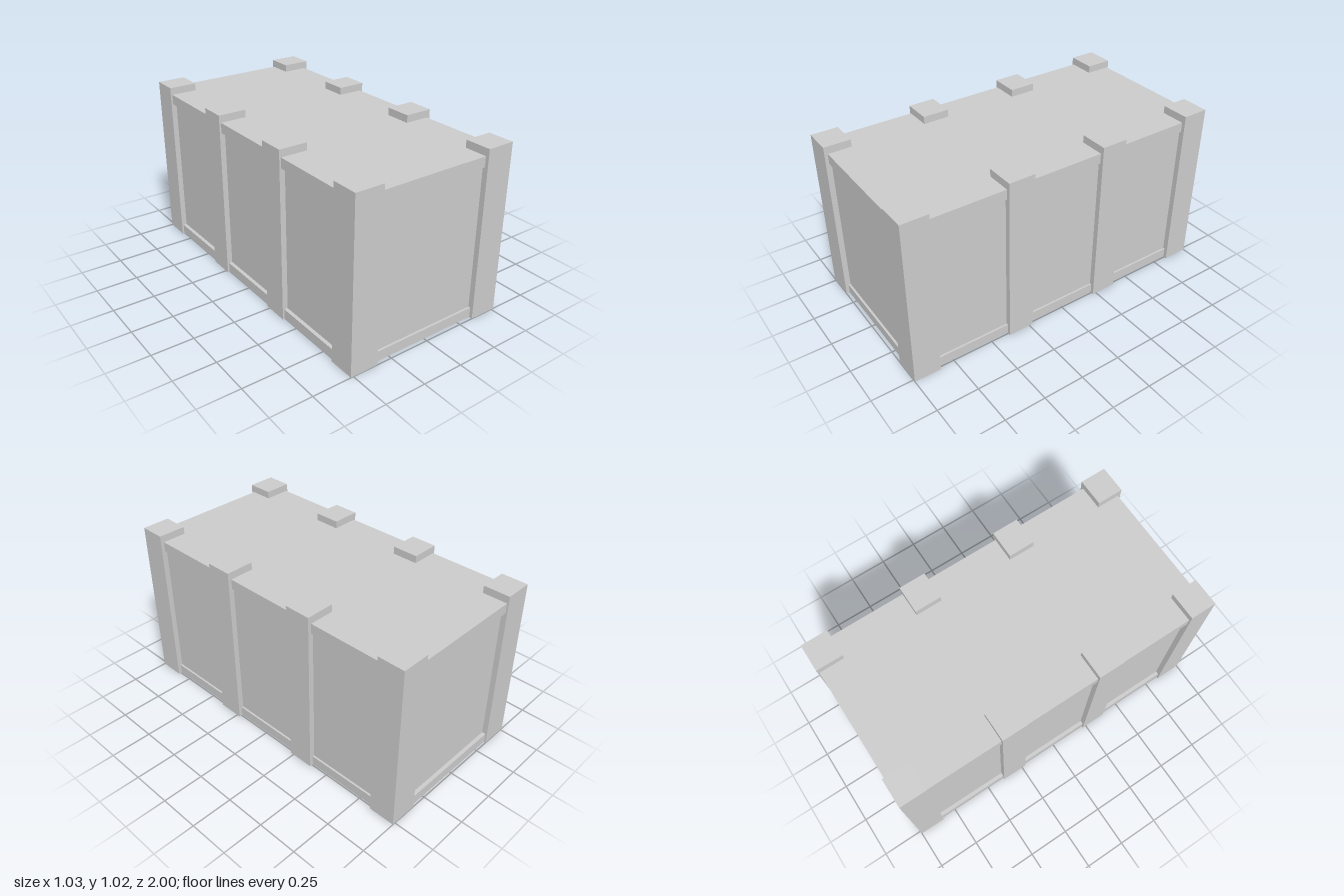
import * as THREE from 'three';

export function createModel() {
  const crate = new THREE.Group();
  crate.name = 'crate';
  const material = new THREE.MeshStandardMaterial({ color: 0xcccccc, flatShading: true });

  // Box given by its lower and upper corners
  function addBox(name, min, max) {
    const size = max.map((v, i) => v - min[i]);
    const mesh = new THREE.Mesh(new THREE.BoxGeometry(...size), material);
    mesh.position.set(...max.map((v, i) => (v + min[i]) / 2));
    mesh.name = name;
    crate.add(mesh);
  }

  // Recessed walls between the base and the lid
  addBox('wallPanels', [-0.483, 0.03, -0.967], [0.483, 0.95, 0.967]);

  // Base and lid slabs, sitting very slightly off centre
  addBox('base', [-0.505, 0.003, -0.99], [0.495, 0.063, 0.98]);
  addBox('lid', [-0.505, 0.919, -0.99], [0.495, 0.98, 0.98]);

  // Four posts along each long side
  for (const side of [-1, 1]) {
    for (const z of [-0.92, -0.307, 0.307, 0.92]) {
      const x = side * 0.43;
      addBox(side > 0 ? 'leftPost' : 'rightPost',
        [x - 0.086, 0, z - 0.08], [x + 0.086, 1.025, z + 0.08]);
    }
  }
  return crate;
}
